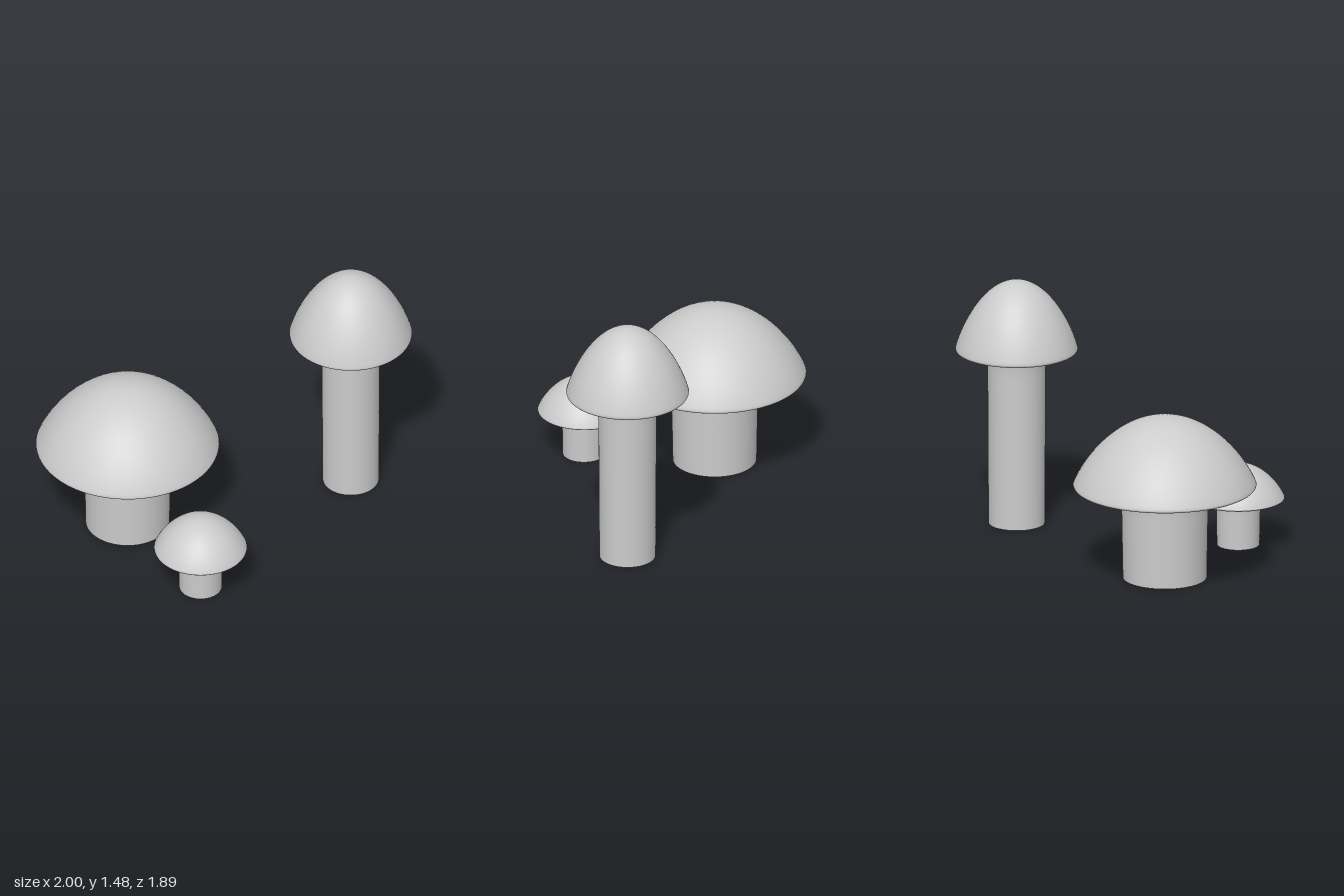
import * as THREE from 'three';

const material = new THREE.MeshStandardMaterial({ color: 0xcccccc });
const SEGMENTS = 64;
const v = (x, y) => new THREE.Vector2(x, y);

function lathe(points, name) {
  const mesh = new THREE.Mesh(new THREE.LatheGeometry(points, SEGMENTS), material);
  mesh.name = name;
  return mesh;
}

// capR: cap radius, rim: height of the cap's lower edge, top: apex height, stemR: stem radius
function mushroom({ name, x, z, capR, rim, top, stemR }) {
  const group = new THREE.Group();
  group.name = name;
  group.position.set(x, 0, z);

  const capH = top - rim;
  const gap = capR - stemR;
  const hollow = rim + capH * 0.13; // ceiling of the hollow under the cap
  const widest = rim + capH * 0.045;
  const joinR = stemR + gap * 0.4; // where the flared stem meets the hollow

  // Stem: nearly straight, flaring out into the cap
  const flare = new THREE.CubicBezierCurve(
    v(stemR * 1.02, rim - capH * 0.3), v(stemR * 1.03, rim - capH * 0.02),
    v(stemR * 1.12, hollow), v(joinR, hollow));
  group.add(lathe([v(stemR * 0.99, 0), v(stemR, rim * 0.25), ...flare.getPoints(16)], 'stem'));

  // Flat foot of the stem
  const foot = new THREE.Mesh(new THREE.CircleGeometry(stemR * 0.99, SEGMENTS), material);
  foot.name = 'stemFoot';
  foot.rotation.x = Math.PI / 2;
  group.add(foot);

  // Cap: hollow underside, rounded lip, then the dome up to a slightly pointed apex
  const under = new THREE.CubicBezierCurve(
    v(joinR, hollow), v(capR * 0.84, hollow), v(capR * 0.9, rim + capH * 0.06), v(capR * 0.93, rim));
  const lip = new THREE.CubicBezierCurve(
    v(capR * 0.93, rim), v(capR * 0.97, rim), v(capR * 1.0, rim + capH * 0.01), v(capR, widest));
  const domeH = top - widest;
  const dome = new THREE.CubicBezierCurve(
    v(capR, widest), v(capR * 0.87, widest + domeH * 0.4), v(capR * 0.5, top - domeH * 0.01), v(0, top));
  group.add(lathe(under.getPoints(12), 'capUnderside'));
  group.add(lathe([...lip.getPoints(6), ...dome.getPoints(32).slice(1)], 'cap'));
  return group;
}

export function createModel() {
  const model = new THREE.Group();
  model.name = 'mushrooms';
  const specs = [
    { name: 'wideMushroom', x: -0.465, z: 0.205, capR: 0.535, rim: 0.547, top: 0.977, stemR: 0.248 },
    { name: 'tallMushroom', x: 0.642, z: -0.59, capR: 0.358, rim: 1.05, top: 1.48, stemR: 0.166 },
    { name: 'smallMushroom', x: 0.14, z: 0.673, capR: 0.271, rim: 0.278, top: 0.492, stemR: 0.126 },
  ];
  specs.forEach((spec) => model.add(mushroom(spec)));
  return model;
}
